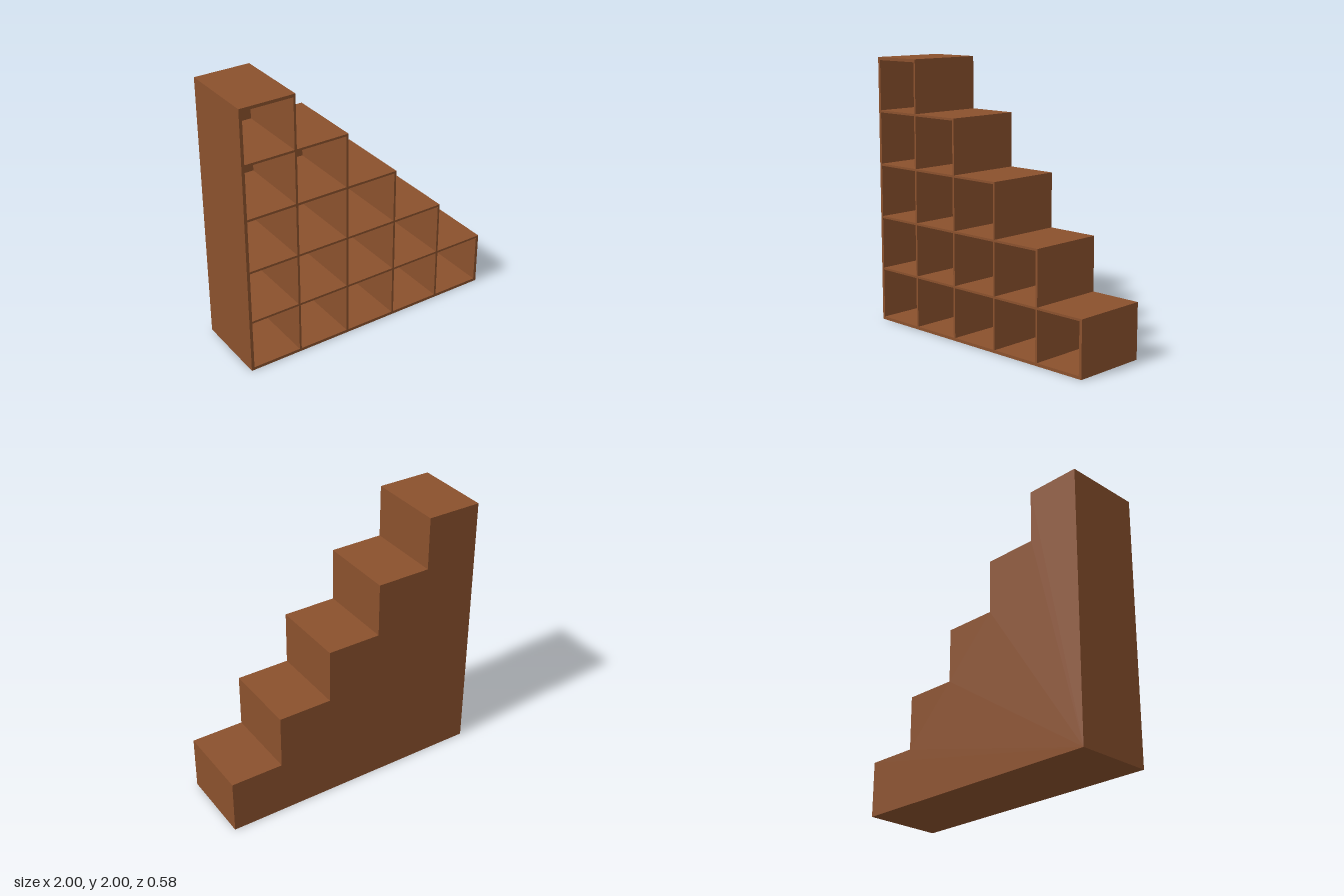
import * as THREE from 'three';

const EDGES = [0, 0.408, 0.808, 1.208, 1.608, 2]; // outer step lines, measured from the tall bottom corner
const BOARD = 0.016, OUTER = 0.022, DEPTH = 0.58, BACK = 0.02;

// Staircase outline shared by the open frame and the back panel
function stairShape() {
  const s = new THREE.Shape();
  s.moveTo(-1, 0);
  s.lineTo(1, 0);
  for (let i = 4; i >= 0; i--) {
    const top = EDGES[5 - i];
    s.lineTo(EDGES[i + 1] - 1, top);
    s.lineTo(EDGES[i] - 1, top);
  }
  s.closePath();
  return s;
}

// Start and end of the opening in a given column or row
function opening(i) {
  return [
    EDGES[i] + (i === 0 ? OUTER : 0),
    EDGES[i + 1] - (i === 4 ? OUTER : BOARD),
  ];
}

export function createModel() {
  const group = new THREE.Group();
  group.name = 'stepShelf';
  const wood = new THREE.MeshStandardMaterial({ color: 0x8b512d });
  wood.name = 'brown wood';

  // Boards and dividers: the outline with one square hole per compartment
  const frameShape = stairShape();
  for (let col = 0; col < 5; col++) {
    for (let row = 0; row < 5 - col; row++) {
      const [x0, x1] = opening(col);
      const [y0, y1] = opening(row);
      const hole = new THREE.Path();
      hole.moveTo(x0 - 1, y0);
      hole.lineTo(x0 - 1, y1);
      hole.lineTo(x1 - 1, y1);
      hole.lineTo(x1 - 1, y0);
      hole.closePath();
      frameShape.holes.push(hole);
    }
  }
  const frame = new THREE.Mesh(
    new THREE.ExtrudeGeometry(frameShape, { depth: DEPTH - BACK, bevelEnabled: false }), wood);
  frame.name = 'shelfFrame';
  frame.position.z = -DEPTH / 2 + BACK;

  // Solid panel closing the back
  const back = new THREE.Mesh(
    new THREE.ExtrudeGeometry(stairShape(), { depth: BACK, bevelEnabled: false }), wood);
  back.name = 'backPanel';
  back.position.z = -DEPTH / 2;

  group.add(frame, back);
  return group;
}
